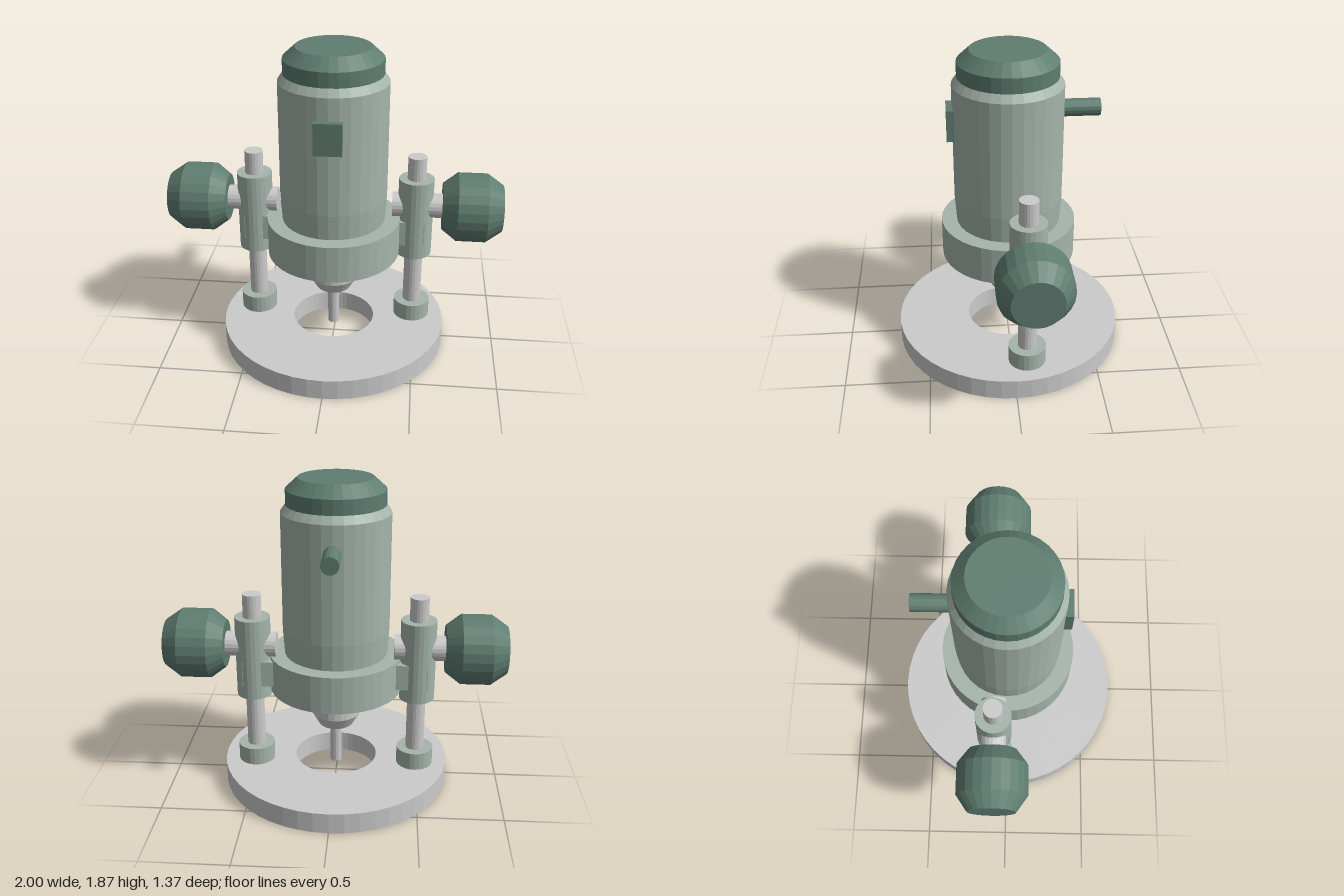
import * as THREE from 'three';

const mat = (color) => new THREE.MeshStandardMaterial({ color, flatShading: true });

export function createModel() {
  const model = new THREE.Group();
  const steel = mat(0xcccccc);
  const body = mat(0xa5b5ab);
  const dark = mat(0x5f7d71);

  const add = (parent, name, geometry, material, x = 0, y = 0, z = 0) => {
    const mesh = new THREE.Mesh(geometry, material);
    mesh.name = name;
    mesh.position.set(x, y, z);
    parent.add(mesh);
    return mesh;
  };
  // Revolved part from [radius, height] pairs, listed bottom to top on the outside
  const lathe = (points, sides) =>
    new THREE.LatheGeometry(points.map(([r, y]) => new THREE.Vector2(r, y)), sides);
  const rod = (r, y0, y1, sides) =>
    new THREE.CylinderGeometry(r, r, y1 - y0, sides).translate(0, (y0 + y1) / 2, 0);
  const ring = (inner, outer, y0, y1, sides) =>
    lathe([[inner, y0], [outer, y0], [outer, y1], [inner, y1], [inner, y0]], sides);

  // Base plate with its centre opening
  add(model, 'basePlate', ring(0.25, 0.685, 0, 0.125, 48), steel);

  // Motor, clamp ring and cap
  add(model, 'clampRing', ring(0.28, 0.397, 0.6, 0.825, 40), body);
  add(model, 'motorHousing', lathe([
    [0, 0.79], [0.303, 0.79], [0.306, 0.825], [0.316, 0.98],
    [0.316, 1.675], [0.285, 1.72], [0, 1.72],
  ], 32), body);
  add(model, 'motorCap', lathe([
    [0, 1.71], [0.286, 1.71], [0.286, 1.805], [0.215, 1.87], [0, 1.87],
  ], 32), dark);
  add(model, 'switchPanel', new THREE.BoxGeometry(0.158, 0.185, 0.07), dark, 0, 1.452, 0.315);
  add(model, 'cordSleeve', rod(0.05, -0.52, -0.28, 16).rotateX(Math.PI / 2), dark, 0, 1.515, 0);

  // Collet and cutter
  add(model, 'collet', lathe([
    [0, 0.345], [0.105, 0.345], [0.147, 0.42], [0.147, 0.8], [0, 0.8],
  ], 24), steel);
  add(model, 'cutterBit', rod(0.035, 0.08, 0.36, 16), steel);

  // Plunge columns and handles, one on each side
  for (const side of [1, -1]) {
    const column = new THREE.Group();
    column.name = side > 0 ? 'leftColumn' : 'rightColumn';
    column.position.set(side * 0.487, 0, -0.075);
    model.add(column);

    add(column, 'columnFoot', rod(0.11, 0.12, 0.232, 24), body);
    add(column, 'guidePost', rod(0.055, 0.125, 1.2, 20), steel);
    add(column, 'guideSleeve', rod(0.105, 0.567, 1.06, 24), body);
    add(column, 'sleeveBracket', new THREE.BoxGeometry(0.2, 0.155, 0.18), body, -side * 0.042, 0.727, 0);

    // Handle lies along x, pointing outward
    const handle = new THREE.Group();
    handle.name = 'handle';
    handle.position.y = 0.885;
    handle.rotation.z = -side * Math.PI / 2;
    column.add(handle);
    add(handle, 'handleRod', rod(0.074, -0.14, 0.18, 20), steel);
    add(handle, 'handleKnob', lathe([
      [0, 0.158], [0.14, 0.158], [0.206, 0.245], [0.206, 0.418], [0.14, 0.513], [0, 0.513],
    ], 24), dark);
  }
  return model;
}
